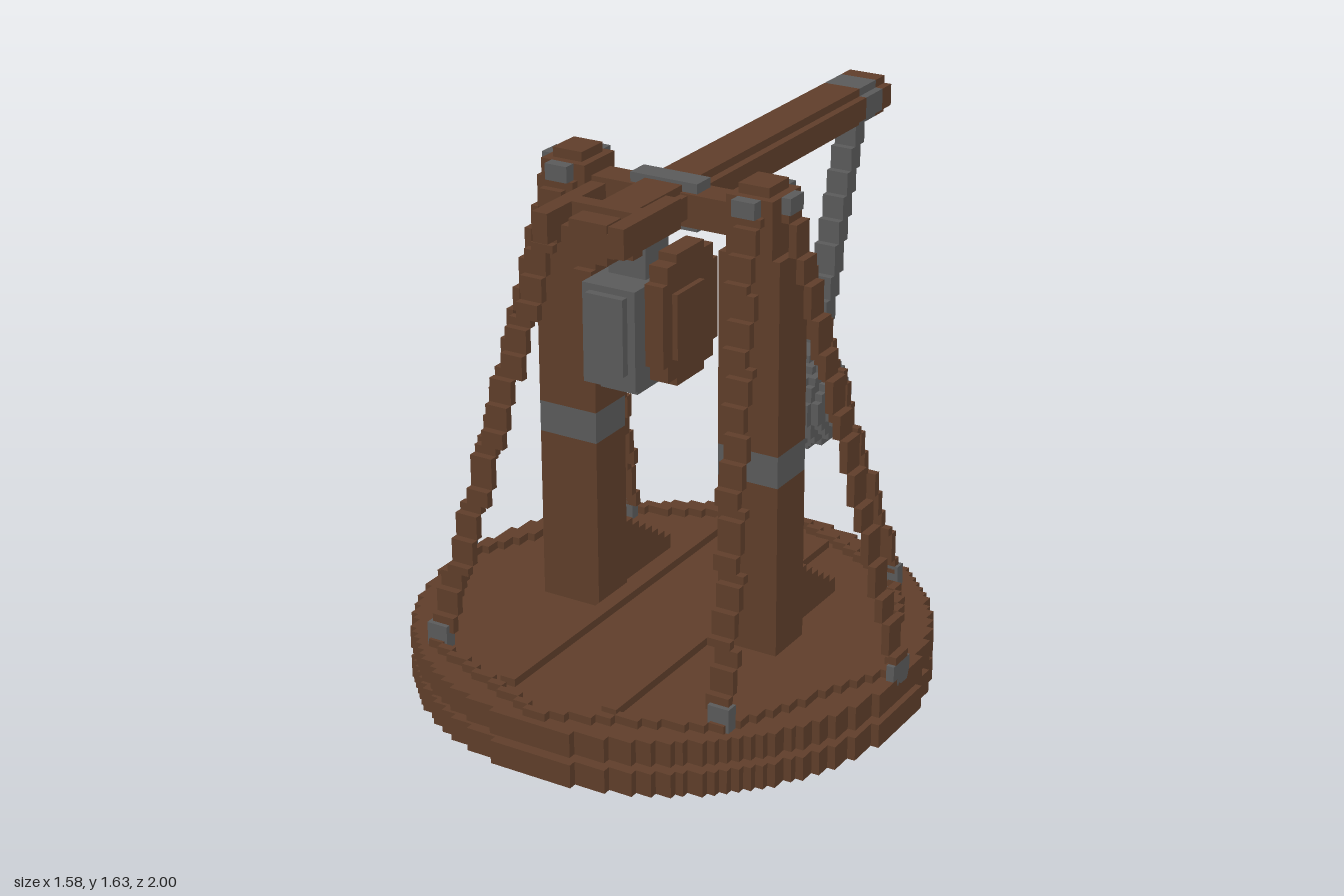
import * as THREE from 'three';
import { mergeGeometries } from 'three/addons/utils/BufferGeometryUtils.js';

const V = 0.025; // block size
const CZ = 0.2125; // centre of base and pillars in z
const wood = new THREE.MeshStandardMaterial({ color: 0x613f2b });
wood.name = 'wood';
const steel = new THREE.MeshStandardMaterial({ color: 0x5c5c5c });
steel.name = 'steel';

// block from min and max corners
function block(x0, x1, y0, y1, z0, z1) {
  return new THREE.BoxGeometry(x1 - x0, y1 - y0, z1 - z0)
    .translate((x0 + x1) / 2, (y0 + y1) / 2, (z0 + z1) / 2);
}

// blocky horizontal disc, built from rows along x
function disc(r, y0, y1) {
  const rows = [];
  const n = Math.round(r / V - 0.5);
  for (let k = -n; k <= n; k++) {
    const h = (Math.round(Math.sqrt(r * r - k * k * V * V) / V - 0.5) + 0.5) * V;
    rows.push(block(-h, h, y0, y1, CZ + (k - 0.5) * V, CZ + (k + 0.5) * V));
  }
  return mergeGeometries(rows);
}

// blocky ball
function ball(r, y, z) {
  const rows = [];
  const n = Math.round(r / V - 0.5);
  for (let j = -n; j <= n; j++) {
    for (let k = -n; k <= n; k++) {
      const d = r * r - (j * j + k * k) * V * V;
      if (d <= 0) continue;
      const h = (Math.max(0, Math.round(Math.sqrt(d) / V - 0.5)) + 0.5) * V;
      rows.push(block(-h, h, y + (j - 0.5) * V, y + (j + 0.5) * V, z + (k - 0.5) * V, z + (k + 0.5) * V));
    }
  }
  return mergeGeometries(rows);
}

// stepped line of blocks between two points, snapped to the block grid
function steps(a, b, wx, wz) {
  const n = Math.ceil(Math.max(...a.map((p, i) => Math.abs(p - b[i]))) / V);
  const parts = [];
  for (let i = 0; i <= n; i++) {
    const [x, y, z] = a.map((p, k) => p + (b[k] - p) * i / n);
    const cx = Math.round(x / V) * V;
    const cy = (Math.floor(y / V + 1e-6) + 0.5) * V;
    const cz = (Math.floor(z / V + 1e-6) + 0.5) * V;
    parts.push(new THREE.BoxGeometry(wx, V, wz).translate(cx, cy, cz));
  }
  return mergeGeometries(parts);
}

export function createModel() {
  const model = new THREE.Group();
  const add = (name, mat, ...geos) => {
    const mesh = new THREE.Mesh(mergeGeometries(geos), mat);
    mesh.name = name;
    model.add(mesh);
  };

  // turntable base with a groove around it
  add('lowerBase', wood, disc(0.7875, 0, 0.075));
  add('basePivot', wood, disc(0.5875, 0.075, 0.1));
  add('upperBase', wood, disc(0.7875, 0.1, 0.175));

  // raised rim and floor runners
  const ring = [[0, 0.96], [0.49, 0.76], [0.76, 0.21], [0.49, -0.32], [0, -0.54]];
  for (const s of [-1, 1]) {
    for (let i = 0; i < 4; i++) {
      const [p, q] = [ring[i], ring[i + 1]];
      add('baseRim', wood, steps([s * p[0], 0.18, p[1]], [s * q[0], 0.18, q[1]], 0.025, 0.025));
    }
    add('floorRunner', wood, block(Math.min(s * 0.15, s * 0.2), Math.max(s * 0.15, s * 0.2), 0.175, 0.2, -0.425, 0.85));
  }

  // the two sides: pillar, brace and straps
  for (const s of [-1, 1]) {
    const part = (x0, x1, ...r) => block(Math.min(s * x0, s * x1), Math.max(s * x0, s * x1), ...r);
    add('pillar', wood,
      part(0.2125, 0.4125, 0.175, 0.725, 0.1375, 0.3),
      part(0.2125, 0.4125, 0.825, 1.425, 0.1375, 0.3),
      part(0.2375, 0.3875, 1.425, 1.6, 0.1375, 0.3),
      part(0.2625, 0.3625, 1.6, 1.63, 0.1625, 0.275));
    add('pillarBand', steel, part(0.2125, 0.4125, 0.725, 0.825, 0.1375, 0.3));

    // stepped brace behind the pillar
    for (let i = 0; i < 8; i++) {
      add('rearBrace', wood, part(0.2375, 0.3625, 0.175 + i * V, 0.2 + (i + 1) * V, 0.1375 - (8 - i) * 0.0375, 0.1375));
    }

    // strap fixings on the pillar head
    add('headFixing', steel,
      part(0.275, 0.35, 1.55, 1.6, 0.1, 0.1375),
      part(0.275, 0.35, 1.55, 1.6, 0.3, 0.3375),
      part(0.3875, 0.4175, 1.55, 1.6, 0.175, 0.25));

    // flat straps to the side, front and rear with their anchors
    add('sideStrap', wood, steps([s * 0.41, 1.54, CZ], [s * 0.765, 0.24, CZ], 0.025, 0.075));
    add('frontStrap', wood, steps([s * 0.3125, 1.54, 0.32], [s * 0.485, 0.24, 0.735], 0.075, 0.025));
    add('rearStrap', wood, steps([s * 0.3125, 1.54, 0.12], [s * 0.485, 0.24, -0.29], 0.075, 0.025));
    add('strapAnchor', steel,
      part(0.7625, 0.7875, 0.15, 0.225, 0.1625, 0.2625),
      part(0.4525, 0.5225, 0.175, 0.25, 0.725, 0.765),
      part(0.4525, 0.5225, 0.175, 0.25, -0.31, -0.275));
  }

  // axle and its steel wrap
  add('axle', wood, block(-0.25, 0.25, 1.46, 1.56, 0.1625, 0.2625));
  add('axleWrap', steel, block(-0.1125, 0.1125, 1.445, 1.59, 0.175, 0.25));

  // throwing arm with chamfered edges
  const beam = (z0, z1) => [
    block(-0.0625, 0.0625, 1.46, 1.58, z0, z1),
    block(-0.0875, 0.0875, 1.485, 1.555, z0, z1)];
  add('throwingArm', wood, ...beam(-0.83, 0.65), ...beam(-1, -0.94));
  add('armBand', steel, ...beam(-0.94, -0.83));

  // fork at the short end of the arm
  for (const s of [-1, 1]) {
    add('forkCheek', wood, block(s * 0.125 - 0.025, s * 0.125 + 0.025, 1.51, 1.6, 0.4, 0.7));
  }
  add('forkCrossbar', wood, block(-0.1, 0.1, 1.46, 1.6, 0.525, 0.575));

  // counterweight: rounded wooden cheeks around a steel block
  for (const s of [-1, 1]) {
    for (let i = 0; i < 16; i++) {
      const t = (i - 7.5) / 8;
      const h = Math.max(0.05, Math.round(0.15 * Math.sqrt(1 - t ** 4) / V) * V);
      const y = 1.04 + i * V;
      add('weightCheek', wood, block(s * 0.12 - 0.03, s * 0.12 + 0.03, y, y + V, 0.35 - h, 0.35 + h));
    }
    add('weightBoss', wood, block(s * 0.155 - 0.0125, s * 0.155 + 0.0125, 1.13, 1.33, 0.3, 0.45));
  }
  add('counterweight', steel,
    block(-0.0875, 0.0875, 1.1, 1.355, 0.25, 0.55),
    block(-0.0625, 0.0625, 1.1, 1.335, 0.55, 0.575),
    block(-0.0875, 0.0875, 1.05, 1.1, 0.275, 0.55),
    block(-0.0625, 0.0625, 1.02, 1.05, 0.35, 0.5),
    block(-0.0625, 0.0625, 1.355, 1.46, 0.325, 0.45));

  // sling and projectile
  add('sling', steel, steps([0, 1.45, -0.9], [0, 0.72, -0.665], 0.075, 0.06));
  add('projectile', steel, ball(0.1625, 0.6125, -0.5625));

  return model;
}
